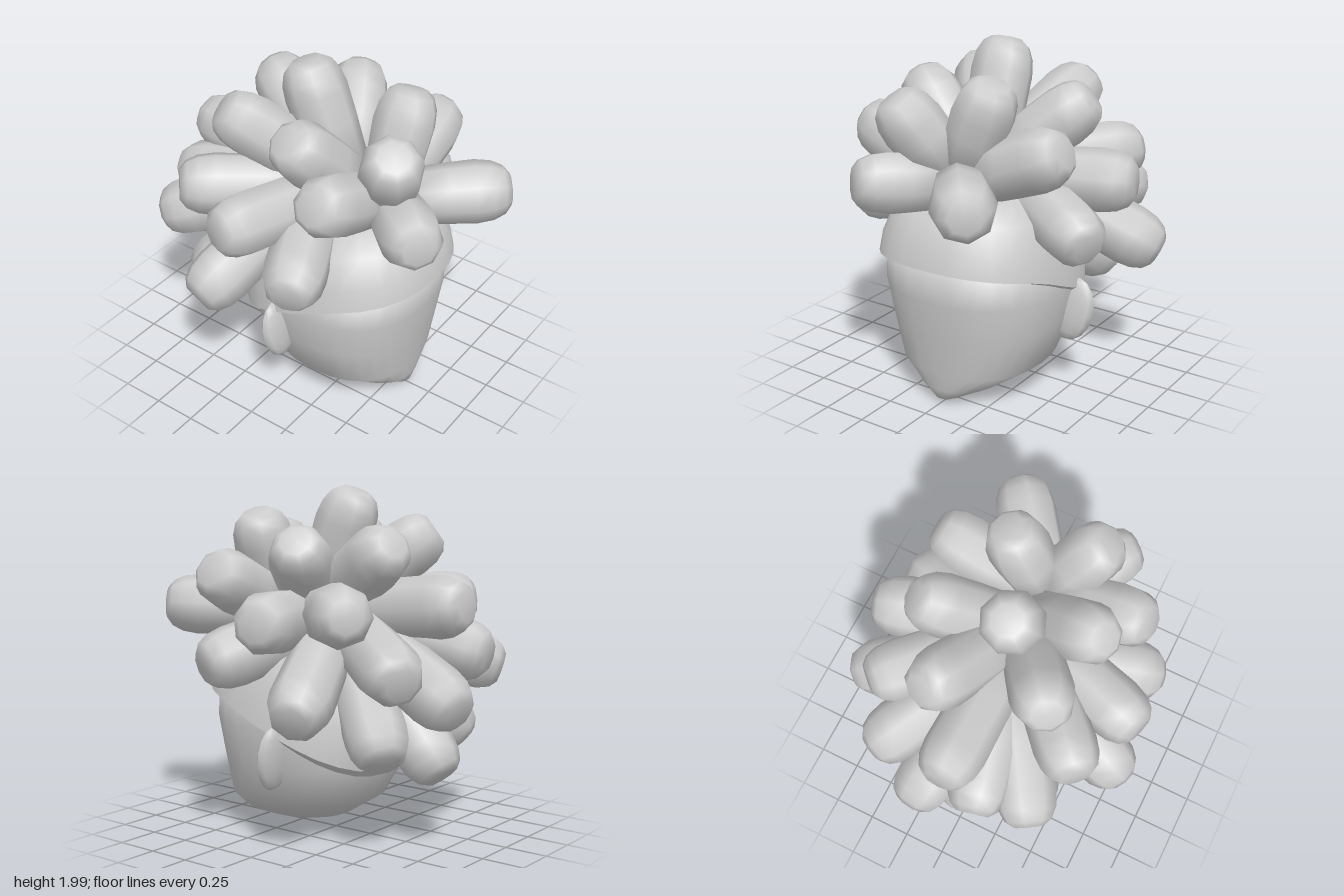
import * as THREE from 'three';

const mat = new THREE.MeshStandardMaterial({ color: 0xcccccc });
const SIDES = 28;

// Rounded-square outline: returns unit x, z for an angle (0 faces +z)
function outline(t, n = 2.35) {
  const f = v => Math.sign(v) * Math.pow(Math.abs(v), 2 / n);
  return [f(Math.sin(t)), f(Math.cos(t))];
}

// Skin a stack of closed rings; point(row, angle) gives [x, y, z]
function loft(rows, point) {
  const pos = [], idx = [];
  rows.forEach((row, i) => {
    for (let j = 0; j < SIDES; j++) {
      pos.push(...point(row, (j / SIDES) * Math.PI * 2));
      if (i === rows.length - 1) continue;
      const a = i * SIDES + j, b = i * SIDES + (j + 1) % SIDES;
      idx.push(a, b, b + SIDES, a, b + SIDES, a + SIDES);
    }
  });
  const g = new THREE.BufferGeometry();
  g.setAttribute('position', new THREE.Float32BufferAttribute(pos, 3));
  g.setIndex(idx);
  g.computeVertexNormals();
  return g;
}

function add(parent, name, geometry) {
  const mesh = new THREE.Mesh(geometry, mat);
  mesh.name = name;
  parent.add(mesh);
  return mesh;
}

// Head slices: y, front z, back z, half width
const HEAD = [
  [0, 0.43, 0.36, 0], [0.03, 0.61, 0.15, 0.1], [0.09, 0.622, -0.07, 0.25],
  [0.2, 0.64, -0.24, 0.42], [0.43, 0.67, -0.37, 0.49], [0.65, 0.7, -0.38, 0.53],
  [0.85, 0.705, -0.36, 0.51], [0.98, 0.4, -0.1, 0.25], [1, 0.16, 0.159, 0.001],
];

// Height of the cap rim, falling from the forehead to the nape
function rimHeight(z) {
  const p = [[-0.45, 0.4], [-0.38, 0.43], [-0.05, 0.6], [0.17, 0.69], [0.4, 0.79], [0.75, 0.86]];
  let i = 0;
  while (i < p.length - 2 && z > p[i + 1][0]) i++;
  return THREE.MathUtils.mapLinear(z, p[i][0], p[i + 1][0], p[i][1], p[i + 1][1]);
}

// Cap rows: ring scale, height fraction (the doubled row keeps the rim sharp)
const CAP = [[0.92, -0.05], [1, 0], [1, 0], [0.96, 0.3], [0.84, 0.7], [0.6, 0.93], [0.001, 1]];
function capPoint([k, h], t) {
  const [ox, oz] = outline(t);
  const z = 0.16 + oz * (oz > 0 ? 0.59 : 0.57);
  const bulge = 1 + 0.18 * Math.max(0, -oz) * Math.sin(Math.PI * Math.max(0, h));
  const y = THREE.MathUtils.lerp(rimHeight(z), 1.22, h);
  return [ox * 0.555 * k, y, 0.16 + (z - 0.16) * k * bulge];
}

// Hair tuft end points
const TUFTS = {
  crown: [
    [-0.03, 1.96, -0.12], [0.25, 1.69, -0.57], [-0.4, 1.74, -0.41], [-0.49, 1.75, 0.09],
    [0.52, 1.7, -0.13], [-0.28, 1.74, 0.62], [0.23, 1.84, 0.4],
  ],
  middle: [
    [0.65, 1.53, 0.37], [-0.65, 1.53, 0.37], [-0.37, 1.31, 0.85], [0.42, 1.3, 0.94],
    [0.82, 1.27, -0.1], [-0.83, 1.27, -0.12], [0.61, 1.33, -0.54], [-0.64, 1.33, -0.53],
    [0, 1.36, -0.88],
  ],
  lower: [
    [0.77, 1.01, 0.32], [-0.79, 1.01, 0.32], [0.84, 0.79, -0.37], [-0.84, 0.78, -0.27],
    [0.49, 0.99, -0.8], [-0.5, 0.96, -0.8], [-0.2, 1.07, -0.9], [0.18, 0.81, -0.95],
  ],
  nape: [[0.38, 0.53, -0.62], [-0.43, 0.54, -0.6], [0, 0.41, -0.74]],
};

// Upper tufts grow from a ridge inside the skull, low ones from a point behind it
function tuftRoot([, y, z]) {
  const rootZ = y > 1.2 ? THREE.MathUtils.clamp(0.2 + 0.5 * z, 0.15, 0.4) : -0.02;
  return new THREE.Vector3(0, 1.26, rootZ);
}

function tuftGeometry(len) {
  const profile = [
    [0, 0.08], [0.155, 0.12], [0.17, len * 0.5], [0.177, len - 0.19],
    [0.165, len - 0.1], [0.135, len - 0.035], [0.09, len], [0, len],
  ].map(([r, y]) => new THREE.Vector2(r, y));
  return new THREE.LatheGeometry(profile, 8);
}

export function createModel() {
  const model = new THREE.Group();
  model.name = 'headWithTuftedHair';

  add(model, 'head', loft(HEAD, ([y, zf, zb, w], t) => {
    const [ox, oz] = outline(t);
    return [ox * w, y, (zf + zb) / 2 + oz * (zf - zb) / 2];
  }));

  add(model, 'hairCap', loft(CAP, capPoint));

  // Thin rounded ears
  for (const side of [1, -1]) {
    const ear = add(model, side > 0 ? 'leftEar' : 'rightEar', new THREE.SphereGeometry(1, 10, 8));
    ear.scale.set(0.135, 0.19, 0.048);
    ear.position.set(side * 0.515, 0.5, 0.035);
    ear.rotation.set(-0.13, 0, side * -0.18);
  }

  // Hair tufts
  const hair = new THREE.Group();
  hair.name = 'hair';
  model.add(hair);
  const up = new THREE.Vector3(0, 1, 0);
  for (const [layer, tips] of Object.entries(TUFTS)) {
    for (const tip of tips) {
      const root = tuftRoot(tip);
      const dir = new THREE.Vector3(...tip).sub(root);
      const tuft = add(hair, layer + 'Tuft', tuftGeometry(dir.length()));
      tuft.position.copy(root);
      tuft.quaternion.setFromUnitVectors(up, dir.normalize());
    }
  }
  return model;
}
